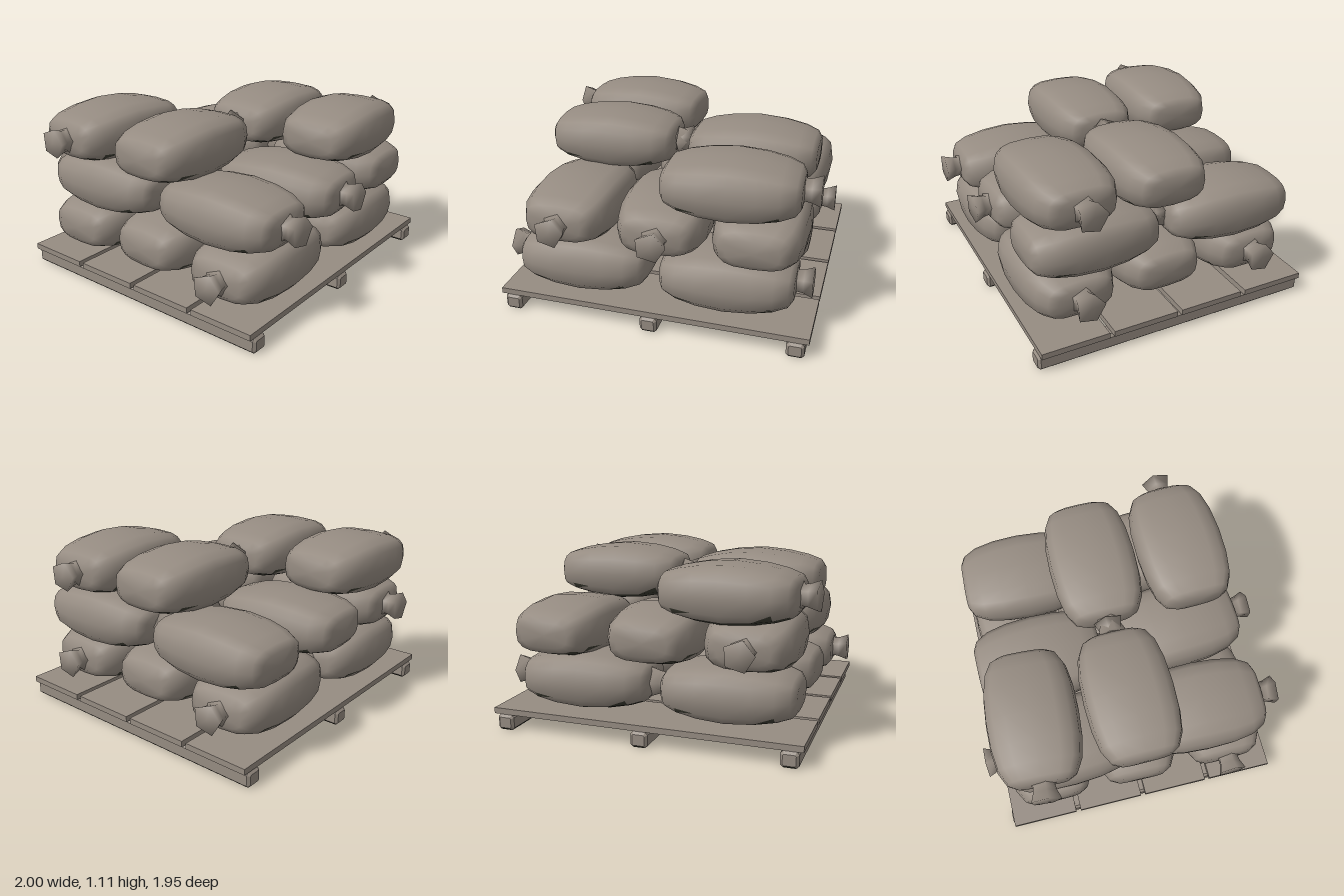
import * as THREE from 'three';

const sackcloth = new THREE.MeshStandardMaterial({ color: 0x968c82 });
sackcloth.name = 'dusty brown';
const grime = new THREE.MeshStandardMaterial({ color: 0x3b3b31 });
grime.name = 'dark underside';

// Body stations along the sack: [x, half height, half width]
const STATIONS = [
  [-0.415, 0.08, 0.16], [-0.385, 0.118, 0.215], [-0.3, 0.145, 0.26], [-0.17, 0.17, 0.283],
  [0, 0.184, 0.29],
  [0.17, 0.17, 0.283], [0.3, 0.145, 0.26], [0.385, 0.118, 0.215], [0.415, 0.08, 0.16],
];
const SIDES = 16;

// Sorts triangles into two groups: 0 for ordinary faces, 1 for faces that look down
function splitUnderside(source) {
  const g = source.index ? source.toNonIndexed() : source;
  const p = g.attributes.position, n = g.attributes.normal;
  const sides = [], under = [], normal = new THREE.Vector3();
  for (let i = 0; i < p.count; i += 3) {
    const [a, b, c] = [0, 1, 2].map((k) => new THREE.Vector3().fromBufferAttribute(p, i + k));
    normal.crossVectors(b.sub(a), c.sub(a)).normalize();
    (normal.y < -0.7 ? under : sides).push(i, i + 1, i + 2);
  }
  const out = new THREE.BufferGeometry();
  out.setAttribute('position', p);
  out.setAttribute('normal', n);
  out.setIndex([...sides, ...under]);
  out.addGroup(0, sides.length, 0);
  out.addGroup(sides.length, under.length, 1);
  return out;
}

// Plump sack body: rounded-box rings joined lengthwise and closed at both ends
function sackBodyGeometry() {
  const pos = [], index = [];
  const round = (v) => Math.sign(v) * Math.pow(Math.abs(v), 0.66);
  for (const [x, h, w] of STATIONS) {
    for (let i = 0; i < SIDES; i++) {
      const a = (i / SIDES) * Math.PI * 2;
      pos.push(x, h * round(Math.cos(a)), w * round(Math.sin(a)));
    }
  }
  const last = STATIONS.length - 1;
  const startCap = pos.length / 3, endCap = startCap + 1;
  pos.push(STATIONS[0][0] - 0.008, 0, 0, STATIONS[last][0] + 0.008, 0, 0);
  for (let i = 0; i < SIDES; i++) {
    const j = (i + 1) % SIDES;
    for (let s = 0; s < last; s++) {
      const a = s * SIDES + i, b = s * SIDES + j;
      index.push(a, b, a + SIDES, b, b + SIDES, a + SIDES);
    }
    index.push(startCap, j, i, endCap, last * SIDES + i, last * SIDES + j);
  }
  const g = new THREE.BufferGeometry();
  g.setAttribute('position', new THREE.Float32BufferAttribute(pos, 3));
  g.setIndex(index);
  g.computeVertexNormals();
  return g;
}

// Five-sided gathered neck: a tie collar, then a flare to the open end
function sackNeckGeometry() {
  const profile = [[0.085, 0.39], [0.085, 0.417], [0.07, 0.425], [0.076, 0.46], [0.098, 0.518], [0, 0.518]]
    .map(([r, y]) => new THREE.Vector2(r, y));
  const g = new THREE.LatheGeometry(profile, 5, Math.PI + 0.08);
  g.rotateZ(-Math.PI / 2);
  return g;
}

// Runner lying along z, all edges chamfered
function runnerGeometry() {
  const c = 0.016, w = 0.055 - c, h = 0.05 - c, length = 1.85;
  const k = 0.007; // small corner cut that the bevel widens into the chamfer
  const corners = [
    [-w + k, -h], [w - k, -h], [w, -h + k], [w, h - k], [w - k, h], [-w + k, h], [-w, h - k], [-w, -h + k],
  ];
  const s = new THREE.Shape(corners.map(([x, y]) => new THREE.Vector2(x, y)));
  const g = new THREE.ExtrudeGeometry(s, {
    depth: length - 2 * c, bevelEnabled: true, bevelSegments: 1, bevelSize: c, bevelThickness: c,
  });
  g.translate(0, 0, -length / 2 + c);
  return g;
}

export function createModel() {
  const model = new THREE.Group();
  model.name = 'sackPallet';

  const add = (parent, name, geometry, material, x = 0, y = 0, z = 0) => {
    const m = new THREE.Mesh(geometry, material);
    m.name = name;
    m.position.set(x, y, z);
    parent.add(m);
  };
  const twoTone = [sackcloth, grime];

  // Pallet: three runners under four wide planks
  const pallet = new THREE.Group();
  pallet.name = 'pallet';
  model.add(pallet);
  const runner = splitUnderside(runnerGeometry());
  for (const x of [-0.9, 0.01, 0.92]) add(pallet, 'runner', runner, twoTone, x, 0.05, -0.005);
  const plank = splitUnderside(new THREE.BoxGeometry(1.98, 0.038, 0.433));
  for (let i = 0; i < 4; i++) add(pallet, 'plank', plank, twoTone, 0.01, 0.121, -0.704 + i * 0.465);

  // Sacks: [x, y, z, direction the neck points, slight yaw]
  const RIGHT = Math.PI, LEFT = 0, FRONT = -Math.PI / 2, BACK = Math.PI / 2;
  const sacks = [
    // bottom layer, lying across
    [-0.48, 0.325, 0.595, RIGHT, 0.02], [-0.48, 0.34, 0, LEFT, -0.02], [-0.48, 0.325, -0.595, LEFT, 0.02],
    [0.45, 0.325, 0.595, LEFT, 0.03], [0.45, 0.34, 0, RIGHT, 0.02], [0.45, 0.325, -0.595, LEFT, 0.05],
    // middle layer, lying front to back
    [-0.575, 0.63, 0.455, FRONT, -0.02], [0.02, 0.63, 0.455, FRONT, 0.06], [0.625, 0.63, 0.455, BACK, 0.02],
    [-0.595, 0.63, -0.455, BACK, 0.03], [0, 0.635, -0.495, FRONT, 0.02], [0.63, 0.63, -0.475, FRONT, -0.03],
    // top layer, lying across
    [-0.475, 0.925, -0.615, RIGHT, -0.05], [-0.48, 0.925, 0, LEFT, 0.01],
    [0.465, 0.925, -0.01, RIGHT, 0.01], [0.455, 0.925, 0.58, LEFT, 0.04],
  ];
  const body = splitUnderside(sackBodyGeometry()), neck = sackNeckGeometry();
  for (const [x, y, z, direction, yaw] of sacks) {
    const sack = new THREE.Group();
    sack.name = 'sack';
    sack.position.set(x, y, z);
    sack.rotation.y = direction + yaw;
    add(sack, 'sackBody', body, twoTone);
    add(sack, 'sackNeck', neck, sackcloth);
    model.add(sack);
  }
  return model;
}
